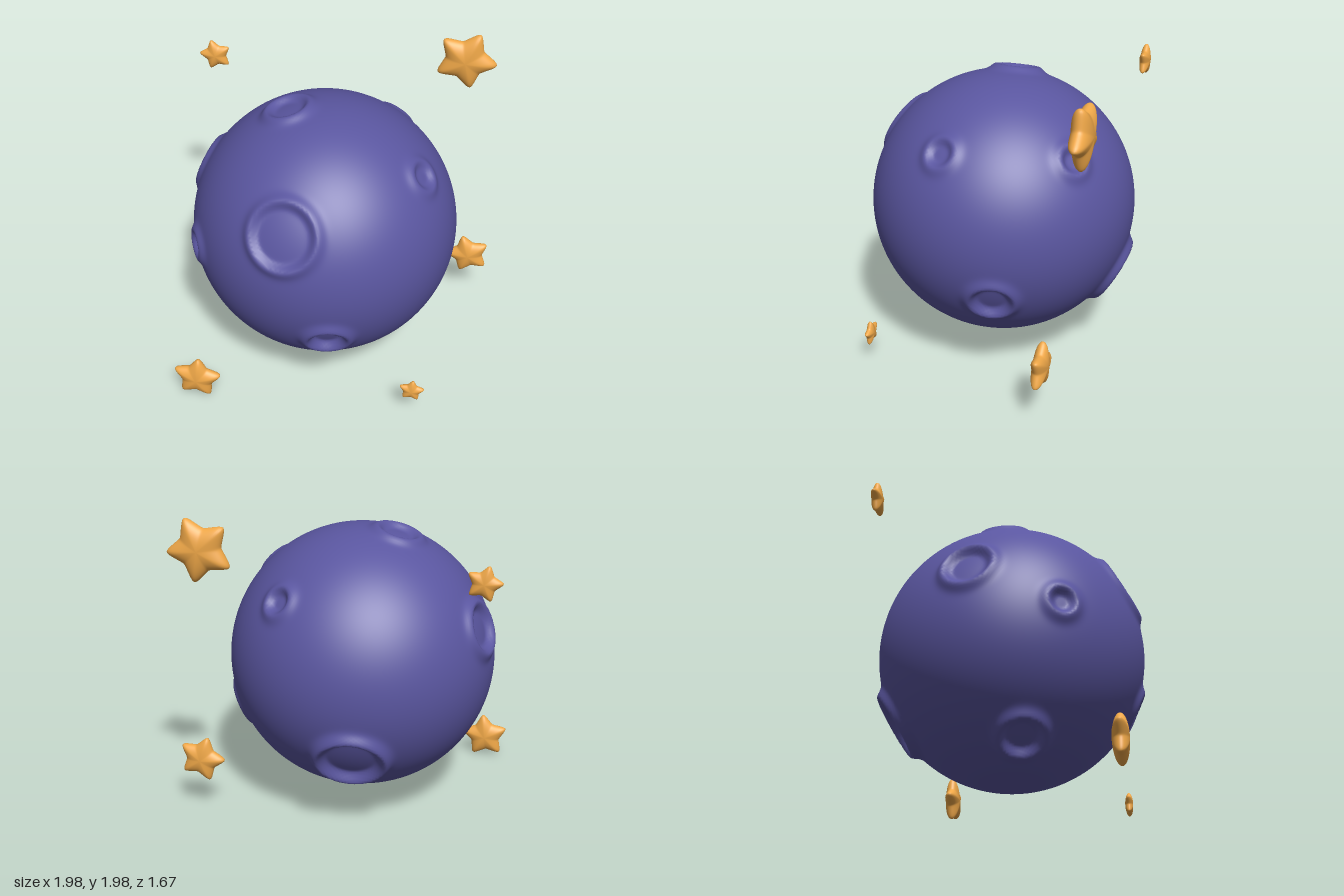
import * as THREE from 'three';
import { mergeVertices } from 'three/addons/utils/BufferGeometryUtils.js';

const RADIUS = 0.833;
const CENTER = new THREE.Vector3(-0.065, 0.973, 0);

// Craters: direction from the planet centre, rim radius, rim height, floor depth
const CRATERS = [
  { dir: [-0.14, 0.395, 0.72], r: 0.205, h: 0.028, d: 0.012 },
  { dir: [0.125, -0.34, 0.75], r: 0.125, h: 0.03, d: 0.03 },
  { dir: [-0.74, 0.02, 0.39], r: 0.09, h: 0.025, d: 0.02 },
  { dir: [0.62, 0.53, 0.19], r: 0.095, h: 0.02, d: 0.012 },
  { dir: [0.40, 0.505, -0.57], r: 0.09, h: 0.022, d: 0.02 },
  { dir: [0.74, -0.335, -0.165], r: 0.135, h: 0.025, d: 0.025 },
  { dir: [-0.08, -0.44, -0.72], r: 0.2, h: 0.045, d: 0.02 },
  { dir: [-0.225, 0.80, -0.015], r: 0.132, h: 0.03, d: 0.01 },
  { dir: [-0.775, 0.28, -0.16], r: 0.155, h: 0.03, d: 0.02 },
  { dir: [-0.45, -0.69, 0.12], r: 0.135, h: 0.032, d: 0.025 },
].map((c) => ({ ...c, dir: new THREE.Vector3(...c.dir).normalize() }));

// Height of a crater at a distance from its centre: floor, raised rim, soft skirt
function craterHeight({ r, h, d }, dist) {
  const off = dist - r;
  const width = off < 0 ? 0.03 : 0.042;
  const rim = h * Math.exp(-((off / width) ** 2));
  const floor = d * (1 - THREE.MathUtils.smoothstep(dist, r - 0.05, r));
  return rim - floor;
}

// Fine sphere pushed in and out by the craters
function planetGeometry() {
  let geo = new THREE.IcosahedronGeometry(1, 62);
  geo.deleteAttribute('uv');
  geo.deleteAttribute('normal');
  geo = mergeVertices(geo, 1e-5);
  const pos = geo.attributes.position;
  const v = new THREE.Vector3();
  for (let i = 0; i < pos.count; i++) {
    v.fromBufferAttribute(pos, i).normalize();
    let radius = RADIUS;
    for (const c of CRATERS) radius += craterHeight(c, v.distanceTo(c.dir) * RADIUS);
    v.multiplyScalar(radius);
    pos.setXYZ(i, v.x, v.y, v.z);
  }
  geo.computeVertexNormals();
  return geo;
}

// Outline of a five-pointed star with softened tips and valleys; 1 at the tips
function starRadius(angle) {
  const step = Math.PI / 5;
  const inner = 0.56;
  const edge = (a) => inner / (Math.sin(a) + inner * Math.sin(step - a));
  let a = Math.abs(angle) % (2 * step);
  if (a > step) a = 2 * step - a;
  const soft = Math.sqrt(a * a + 0.006);
  const b = step - a;
  const eased = step - Math.sqrt(b * b + 0.006);
  const t = THREE.MathUtils.smoothstep(a, 0, step);
  return edge(THREE.MathUtils.lerp(soft, eased, t)) / edge(Math.sqrt(0.006));
}

// Puffy star: a flattened sphere whose radius follows the star outline
function starGeometry() {
  let geo = new THREE.SphereGeometry(1, 120, 28);
  geo.rotateX(Math.PI / 2);
  geo.deleteAttribute('uv');
  geo.deleteAttribute('normal');
  geo = mergeVertices(geo, 1e-5);
  const pos = geo.attributes.position;
  for (let i = 0; i < pos.count; i++) {
    const x = pos.getX(i), y = pos.getY(i);
    const k = starRadius(Math.atan2(y, x));
    pos.setXYZ(i, x * k, y * k, pos.getZ(i) * 0.32);
  }
  geo.computeVertexNormals();
  return geo;
}

// Stars: position, size, angle of one tip in degrees
const STARS = [
  { name: 'starUpperRight', at: [-0.895, 1.71, -0.705], size: 0.105, tip: 105 },
  { name: 'starUpperLeft', at: [0.735, 1.80, -0.71], size: 0.2, tip: 65 },
  { name: 'starLowerLeft', at: [0.855, 0.375, -0.53], size: 0.15, tip: 35 },
  { name: 'starSmall', at: [0.58, 0.21, 0.68], size: 0.08, tip: 84 },
  { name: 'starLowerRight', at: [-0.795, 0.14, 0.69], size: 0.155, tip: 84 },
];

export function createModel() {
  const group = new THREE.Group();
  group.name = 'planetWithStars';

  const planet = new THREE.Mesh(
    planetGeometry(),
    new THREE.MeshStandardMaterial({ color: 0x5a56a0 }),
  );
  planet.name = 'planet';
  planet.position.copy(CENTER);
  group.add(planet);

  const starGeo = starGeometry();
  const starMaterial = new THREE.MeshStandardMaterial({ color: 0xf0a848 });
  for (const s of STARS) {
    const star = new THREE.Mesh(starGeo, starMaterial);
    star.name = s.name;
    star.position.set(...s.at);
    star.rotation.z = THREE.MathUtils.degToRad(s.tip);
    star.scale.setScalar(s.size);
    group.add(star);
  }
  return group;
}
